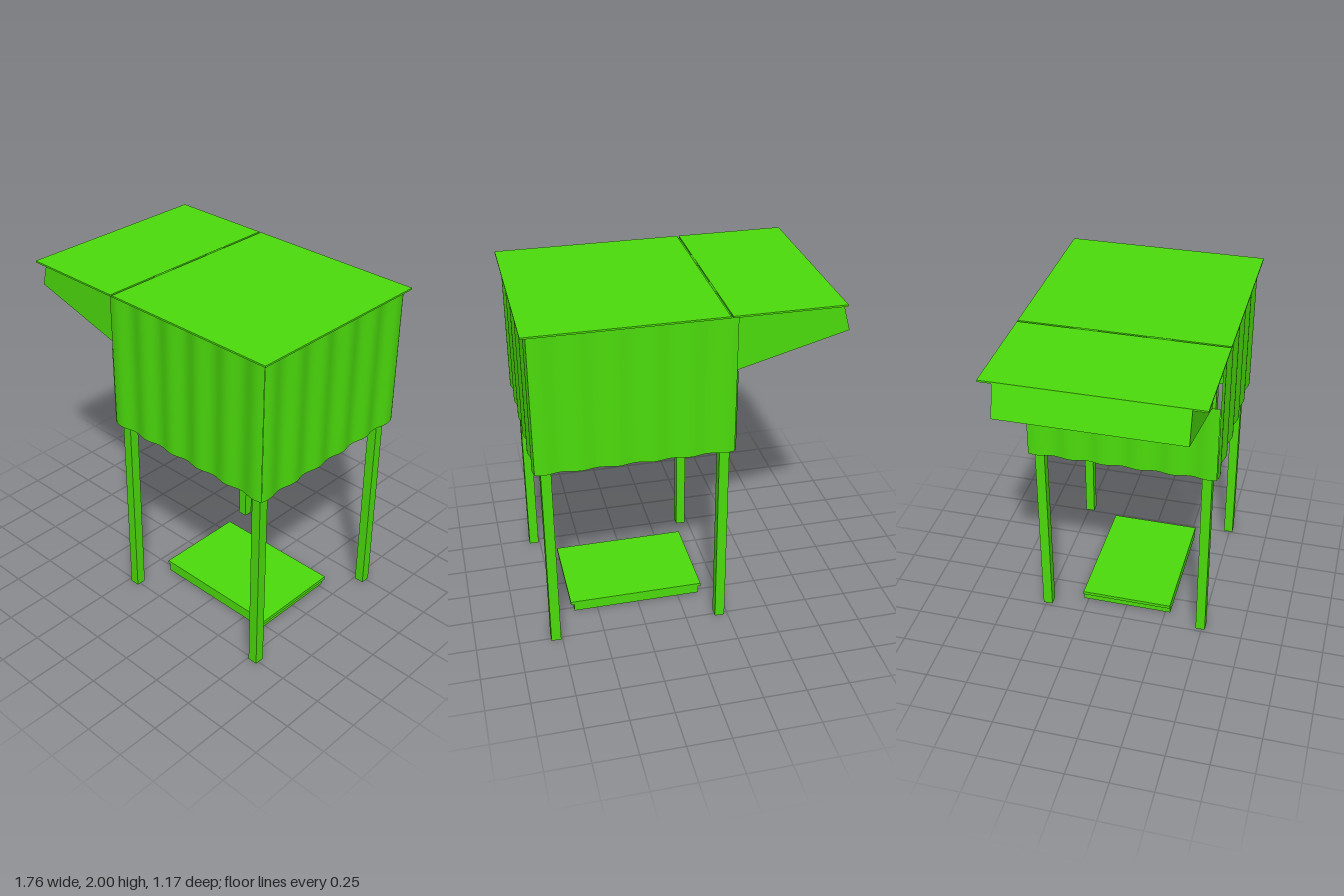
import * as THREE from 'three';

const GREEN = 0x4cdd0c;

export function createModel() {
  const model = new THREE.Group();
  const solid = new THREE.MeshStandardMaterial({ color: GREEN });
  const sheet = new THREE.MeshStandardMaterial({ color: GREEN, side: THREE.DoubleSide });

  const add = (name, geometry, material = solid, parent = model) => {
    const mesh = new THREE.Mesh(geometry, material);
    mesh.name = name;
    parent.add(mesh);
    return mesh;
  };
  // Box given by its limits on each axis
  const box = (name, x0, x1, y0, y1, z0, z1, parent) => {
    const mesh = add(name, new THREE.BoxGeometry(x1 - x0, y1 - y0, z1 - z0), solid, parent);
    mesh.position.set((x0 + x1) / 2, (y0 + y1) / 2, (z0 + z1) / 2);
    return mesh;
  };

  // Timber frame: four legs joined by rails below and above
  const frame = new THREE.Group();
  frame.name = 'frame';
  model.add(frame);
  const XL = -0.23, XR = 0.815, Z = 0.52, T = 0.057, BOTTOM = 1.17, TOP = 1.985;
  for (const x of [XL, XR - T]) {
    for (const z of [-Z, Z - T]) box('leg', x, x + T, 0, TOP, z, z + T, frame);
  }
  for (const [y0, y1] of [[BOTTOM, BOTTOM + T], [TOP - T, TOP]]) {
    for (const x of [XL, XR - T]) box('crossRail', x, x + T, y0, y1, -Z + T, Z - T, frame);
    for (const z of [-Z, Z - T]) box('sideRail', XL + T, XR - T, y0, y1, z, z + T, frame);
  }

  // Corrugated cladding: a plane rippled along its width
  const corrugated = (name, width, y0, y1, x, z, turn) => {
    const g = new THREE.PlaneGeometry(width, y1 - y0, 80, 1);
    const p = g.attributes.position;
    for (let i = 0; i < p.count; i++) {
      const u = p.getX(i) / width + 0.5;
      p.setZ(i, 0.008 * Math.sin(u * Math.PI * 2 * 5.5));
    }
    g.computeVertexNormals();
    const wall = add(name, g, sheet);
    wall.position.set(x, (y0 + y1) / 2, z);
    wall.rotation.y = turn;
  };
  corrugated('frontWall', 1.1, BOTTOM, 1.99, 0.3, 0.552, 0);
  corrugated('backWall', 1.1, BOTTOM, 1.99, 0.3, -0.552, Math.PI);
  corrugated('rightWall', 1.1, BOTTOM, 1.99, 0.85, 0, Math.PI / 2);
  corrugated('leftWall', 1.1, BOTTOM, 1.645, -0.257, 0, -Math.PI / 2);

  // Sloping side bin, open towards the main box
  const bin = new THREE.Group();
  bin.name = 'sideBin';
  model.add(bin);
  const profile = [[-0.25, 1.99], [-0.83, 1.99], [-0.88, 1.81], [-0.25, 1.64]];
  const shape = new THREE.Shape(profile.map(([x, y]) => new THREE.Vector2(x, y)));
  for (const z of [-0.505, 0.505]) {
    add('binSide', new THREE.ShapeGeometry(shape), sheet, bin).position.z = z;
  }
  const panel = (name, [xa, ya], [xb, yb]) => {
    const g = new THREE.PlaneGeometry(Math.hypot(xb - xa, yb - ya), 1.01);
    g.rotateX(-Math.PI / 2);
    const mesh = add(name, g, sheet, bin);
    mesh.position.set((xa + xb) / 2, (ya + yb) / 2, 0);
    mesh.rotation.z = Math.atan2(yb - ya, xb - xa);
  };
  panel('binEnd', profile[1], profile[2]);
  panel('binFloor', profile[2], profile[3]);

  // Two lids with a narrow gap and a pair of hinges
  box('binLid', -0.83, -0.21, 1.985, 1.995, -0.583, 0.583);
  box('mainLid', -0.198, 0.88, 1.985, 1.995, -0.583, 0.583);
  for (const z of [-0.2, 0.2]) {
    const hinge = add('hinge', new THREE.CylinderGeometry(0.006, 0.006, 0.14, 12));
    hinge.rotation.x = Math.PI / 2;
    hinge.position.set(-0.204, 1.994, z);
  }

  // Low step on the ground under the box
  box('stepBase', -0.13, 0.64, 0, 0.045, -0.28, 0.28);
  box('stepTop', -0.145, 0.66, 0.045, 0.066, -0.28, 0.28);

  return model;
}
